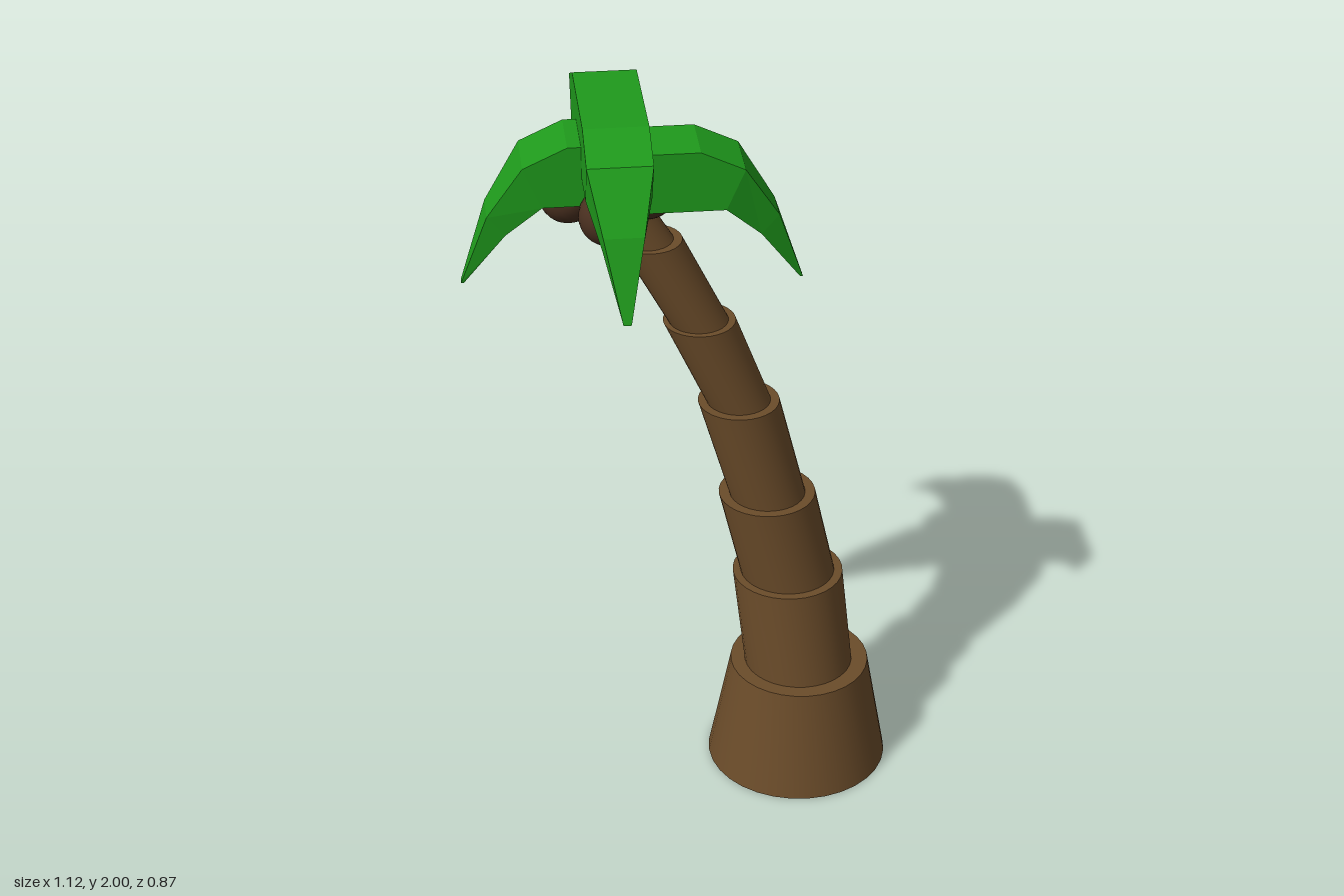
import * as THREE from 'three';
import { toCreasedNormals } from 'three/addons/utils/BufferGeometryUtils.js';

const bark = new THREE.MeshStandardMaterial({ color: 0x6b4c2a, side: THREE.DoubleSide });
const shell = new THREE.MeshStandardMaterial({ color: 0x4a3020 });
const green = new THREE.MeshStandardMaterial({ color: 0x1f9a1c, flatShading: true });

// Trunk piece: flared tube with a flat top, sheared so both ends stay level
function trunkSegment([x0, y0, z0, r0], [x1, y1, z1, r1]) {
  const h = y1 - y0;
  const profile = [[r0, 0], [r1, h], [0.001, h]].map(p => new THREE.Vector2(...p));
  const geo = new THREE.LatheGeometry(profile, 32);
  const pos = geo.attributes.position;
  for (let i = 0; i < pos.count; i++) {
    const t = pos.getY(i) / h;
    pos.setXYZ(i, pos.getX(i) + x0 + (x1 - x0) * t, pos.getY(i) + y0, pos.getZ(i) + z0 + (z1 - z0) * t);
  }
  return new THREE.Mesh(toCreasedNormals(geo, 0.7), bark);
}

// Frond running along +z, made of rectangular sections: [outer z, outer y, inner z, inner y, half width]
const sections = [
  [0, 0, 0, -0.16, 0.081],
  [0.164, 0, 0.164, -0.16, 0.081],
  [0.275, -0.052, 0.228, -0.16, 0.081],
  [0.365, -0.195, 0.32, -0.247, 0.05],
  [0.433, -0.395, 0.426, -0.395, 0.01],
];
function frondGeometry() {
  const verts = [], index = [];
  for (const [zo, yo, zi, yi, w] of sections)
    verts.push(-w, yo, zo, w, yo, zo, w, yi, zi, -w, yi, zi);
  const last = (sections.length - 1) * 4;
  for (let i = 0; i < last; i += 4) {
    for (let k = 0; k < 4; k++) {
      const a = i + k, b = i + (k + 1) % 4;
      index.push(a, a + 4, b, b, a + 4, b + 4);
    }
  }
  // root and tip caps
  index.push(0, 1, 2, 0, 2, 3, last, last + 2, last + 1, last, last + 3, last + 2);
  const geo = new THREE.BufferGeometry();
  geo.setAttribute('position', new THREE.Float32BufferAttribute(verts, 3));
  geo.setIndex(index);
  const flat = geo.toNonIndexed();
  flat.computeVertexNormals();
  return flat;
}

export function createModel() {
  const model = new THREE.Group();
  model.name = 'palmTree';

  // Trunk: [x, y, z, radius] at the bottom and top of each segment
  const trunk = new THREE.Group();
  trunk.name = 'trunk';
  const segments = [
    [[0.315, 0, 0.028, 0.245], [0.317, 0.305, 0.028, 0.188]],
    [[0.315, 0.3, 0.028, 0.147], [0.285, 0.577, -0.005, 0.149]],
    [[0.286, 0.57, -0.007, 0.127], [0.225, 0.83, -0.007, 0.129]],
    [[0.227, 0.825, -0.005, 0.101], [0.146, 1.12, -0.005, 0.107]],
    [[0.15, 1.11, -0.007, 0.084], [0.042, 1.365, -0.007, 0.094]],
    [[0.045, 1.355, -0.007, 0.077], [-0.085, 1.605, -0.007, 0.083]],
    [[-0.085, 1.59, -0.01, 0.07], [-0.21, 1.79, -0.015, 0.07]],
  ];
  segments.forEach(([bottom, top], i) => {
    const mesh = trunkSegment(bottom, top);
    mesh.name = `trunkSegment${i + 1}`;
    trunk.add(mesh);
  });
  model.add(trunk);

  // Coconuts clustered under the crown
  const nutGeo = new THREE.SphereGeometry(0.074, 24, 16);
  const nuts = [[-0.2, 0.133], [-0.2, -0.136], [-0.29, 0], [-0.09, 0]];
  nuts.forEach(([x, z], i) => {
    const nut = new THREE.Mesh(nutGeo, shell);
    nut.name = `coconut${i + 1}`;
    nut.position.set(x, 1.747, z);
    model.add(nut);
  });

  // Crown of four fronds: name, root position, turn about y
  const frondGeo = frondGeometry();
  const fronds = [
    ['frontFrond', [-0.181, 2, 0], 0],
    ['backFrond', [-0.181, 2, 0], Math.PI],
    ['leftFrond', [-0.132, 1.895, 0.028], Math.PI / 2],
    ['rightFrond', [-0.132, 1.925, 0.028], -Math.PI / 2],
  ];
  for (const [name, root, turn] of fronds) {
    const frond = new THREE.Mesh(frondGeo, green);
    frond.name = name;
    frond.position.set(...root);
    frond.rotation.y = turn;
    model.add(frond);
  }
  return model;
}
